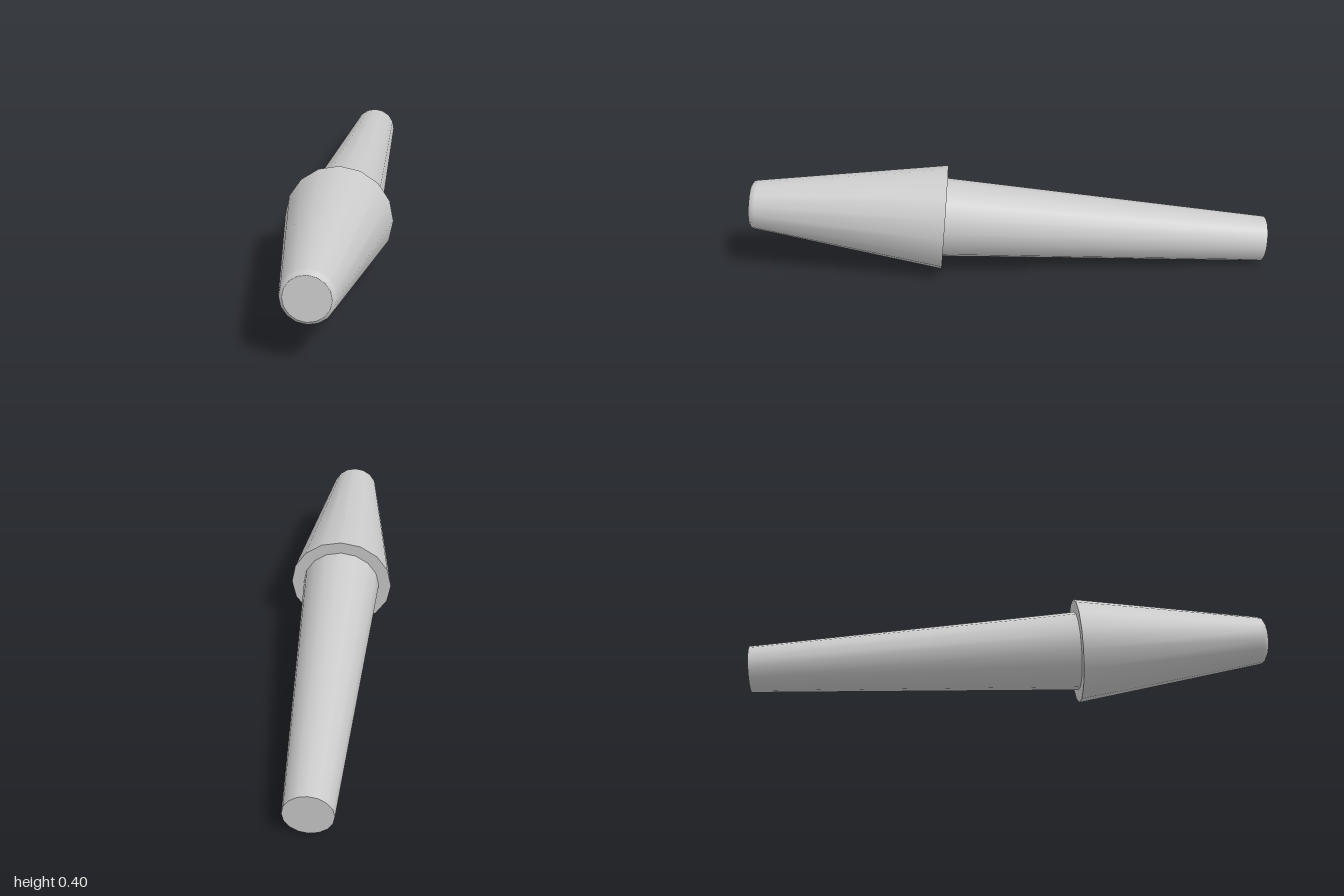
import * as THREE from 'three';

const SIDES = 16;

export function createModel() {
  const model = new THREE.Group();
  const tapered = new THREE.Group();
  tapered.name = 'taperedBody';
  const material = new THREE.MeshStandardMaterial({ color: 0xcccccc });

  // Each section is turned about the long axis (+z towards the nose);
  // separate sections keep hard edges between smooth surfaces.
  const turn = (name, profile) => {
    const geometry = new THREE.LatheGeometry(
      profile.map(([radius, along]) => new THREE.Vector2(radius, along)), SIDES);
    geometry.rotateX(Math.PI / 2);
    const mesh = new THREE.Mesh(geometry, material);
    mesh.name = name;
    tapered.add(mesh);
  };

  // Slim rear shaft with a flat end
  turn('shaftEnd', [[0, -1.25], [0.088, -1.25]]);
  turn('shaft', [[0.088, -1.25], [0.152, 0]]);

  // Wider front sleeve: step ring, cone, rounded rim and flat nose
  turn('sleeveStep', [[0.152, 0], [0.2013, 0]]);
  turn('sleeve', [[0.2013, 0], [0.0945, 0.722]]);
  turn('noseRim', [[0.0945, 0.722], [0.0915, 0.735], [0.08, 0.743]]);
  turn('noseCap', [[0.08, 0.743], [0, 0.743]]);

  // Resting pose: nose raised, both the step edge and the rear end touching the ground
  tapered.rotation.x = -THREE.MathUtils.degToRad(5);
  tapered.position.set(0, 0.2025, 0.2525);
  model.add(tapered);
  return model;
}
